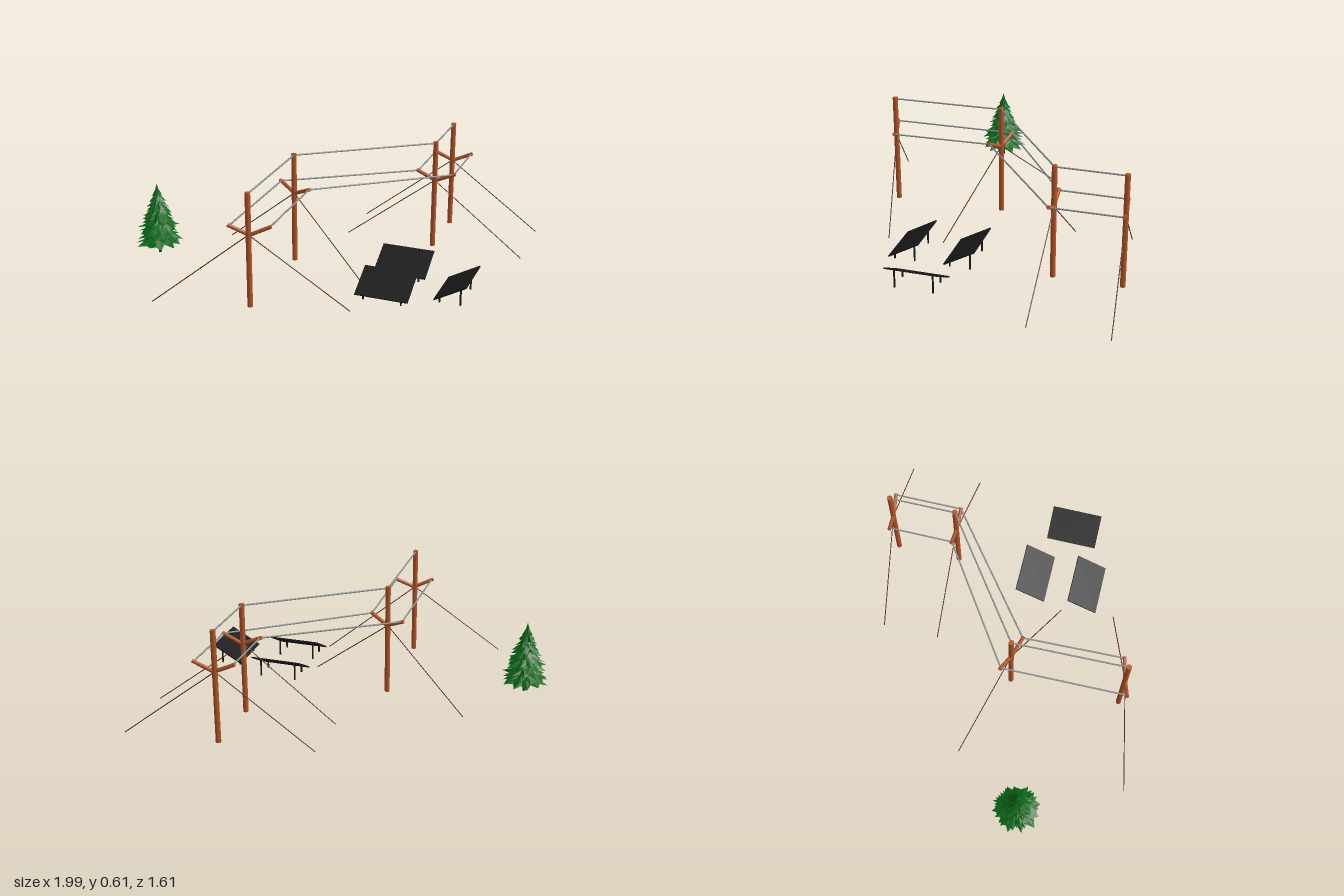
import * as THREE from 'three';

const mat = (color, extra = {}) => new THREE.MeshStandardMaterial({ color, ...extra });
const wood = mat(0xb0552b);
const guyMat = mat(0x5a2814);
const wireMat = mat(0x8c9292);
const panelMat = mat(0x181818);
const needleMat = mat(0x0a6416, { flatShading: true, side: THREE.DoubleSide });
const trunkMat = mat(0x0a4a12);

const V = (x, y, z) => new THREE.Vector3(x, y, z);

// Round bar between two points
function bar(name, a, b, radius, material, sides = 10) {
  const dir = b.clone().sub(a);
  const mesh = new THREE.Mesh(new THREE.CylinderGeometry(radius, radius, dir.length(), sides), material);
  mesh.position.copy(a).add(b).multiplyScalar(0.5);
  mesh.quaternion.setFromUnitVectors(V(0, 1, 0), dir.normalize());
  mesh.name = name;
  return mesh;
}

// Pole with a V of two arms and a guy line below each arm
function makePole(spec) {
  const { x, z, angle } = spec;
  const group = new THREE.Group();
  group.name = 'utilityPole';
  const along = (d, y) => V(x + Math.cos(angle) * d, y, z + Math.sin(angle) * d);
  group.add(bar('pole', V(x, 0, z), V(x, 0.61, z), 0.014, wood, 16));
  for (const side of [-1, 1]) {
    group.add(bar('crossArm', along(0.005, 0.388), along(0.005 + side * 0.109, 0.437), 0.01, wood));
    group.add(bar('guyLine', V(x, 0.388, z), along(side * 0.5, 0.001), 0.0025, guyMat, 6));
  }
  // Points where the three wires are tied
  spec.ties = [along(-0.095, 0.434), V(x, 0.602, z), along(0.107, 0.434)];
  return group;
}

// Tilted panel on two short and two tall legs, low edge towards +z
function makePanel(x, z, turn) {
  const group = new THREE.Group();
  group.name = 'solarPanel';
  const tilt = Math.atan2(0.092, 0.164);
  const slab = new THREE.Mesh(new THREE.BoxGeometry(0.28, 0.007, 0.187), panelMat);
  slab.name = 'panel';
  slab.position.y = 0.089;
  slab.rotation.x = tilt;
  group.add(slab);
  for (const lx of [-0.1, 0.1]) {
    for (const lz of [0.062, -0.046]) {
      const top = 0.088 - lz * Math.tan(tilt);
      group.add(bar('panelLeg', V(lx, 0.016, lz), V(lx, top, lz), 0.005, panelMat, 8));
    }
  }
  group.position.set(x, 0, z);
  group.rotation.y = turn;
  return group;
}

// Conifer from stacked star-edged skirts with ragged, nearly level tips
function makeTree(x, z) {
  const group = new THREE.Group();
  group.name = 'firTree';
  group.add(bar('trunk', V(0, 0.015, 0), V(0, 0.3, 0), 0.008, trunkMat));
  let seed = 7;
  const rand = () => (seed = (seed * 16807) % 2147483647) / 2147483647;
  const tiers = 10, points = 11, rings = 3, columns = points * 2;
  for (let i = 0; i < tiers; i++) {
    const t = i / (tiers - 1);
    const radius = 0.132 * (1 - Math.pow(t, 1.35)) + 0.03 * t;
    const base = 0.078 + 0.268 * t;
    const height = 0.08 - 0.012 * t;
    const geo = new THREE.CylinderGeometry(0, radius, height, columns, rings, true);
    const reach = Array.from({ length: columns }, (_, k) => (k % 2 ? 0.55 : 0.8) + 0.25 * rand());
    const sag = Array.from({ length: columns }, (_, k) => (k % 2 ? 0.012 : -0.008) * rand());
    const pos = geo.attributes.position;
    for (let v = 0; v < pos.count; v++) {
      const ring = Math.floor(v / (columns + 1)) / rings;
      const k = (v % (columns + 1)) % columns;
      const s = 1 + (reach[k] - 1) * ring;
      const y = height * (0.5 - Math.pow(ring, 0.6)) + sag[k] * ring;
      pos.setXYZ(v, pos.getX(v) * s, y, pos.getZ(v) * s);
    }
    geo.computeVertexNormals();
    const skirt = new THREE.Mesh(geo, needleMat);
    skirt.name = 'branchTier';
    skirt.position.y = base + height / 2;
    skirt.rotation.y = i * 1.9;
    group.add(skirt);
  }
  group.position.set(x, 0, z);
  return group;
}

export function createModel() {
  const model = new THREE.Group();
  model.name = 'powerLineScene';

  // Poles, front to back; angle turns the arms about y
  const poles = [
    { x: -0.13, z: 0.672, angle: -0.262 },
    { x: -0.142, z: 0.065, angle: 0.372 },
    { x: 0.5, z: -0.396, angle: 0 },
    { x: 0.5, z: -0.753, angle: -0.096 },
  ];
  for (const p of poles) model.add(makePole(p));

  // Three wires between neighbouring poles
  for (let i = 0; i < 3; i++) {
    for (let k = 0; k < 3; k++) {
      model.add(bar('powerLine', poles[i].ties[k], poles[i + 1].ties[k], 0.0045, wireMat, 8));
    }
  }

  // Two panels facing the front, one facing the model's right
  model.add(makePanel(0.477, 0.06, 0));
  model.add(makePanel(0.477, 0.357, 0));
  model.add(makePanel(0.807, 0.212, -Math.PI / 2));

  model.add(makeTree(-0.86, 0.268));
  return model;
}
